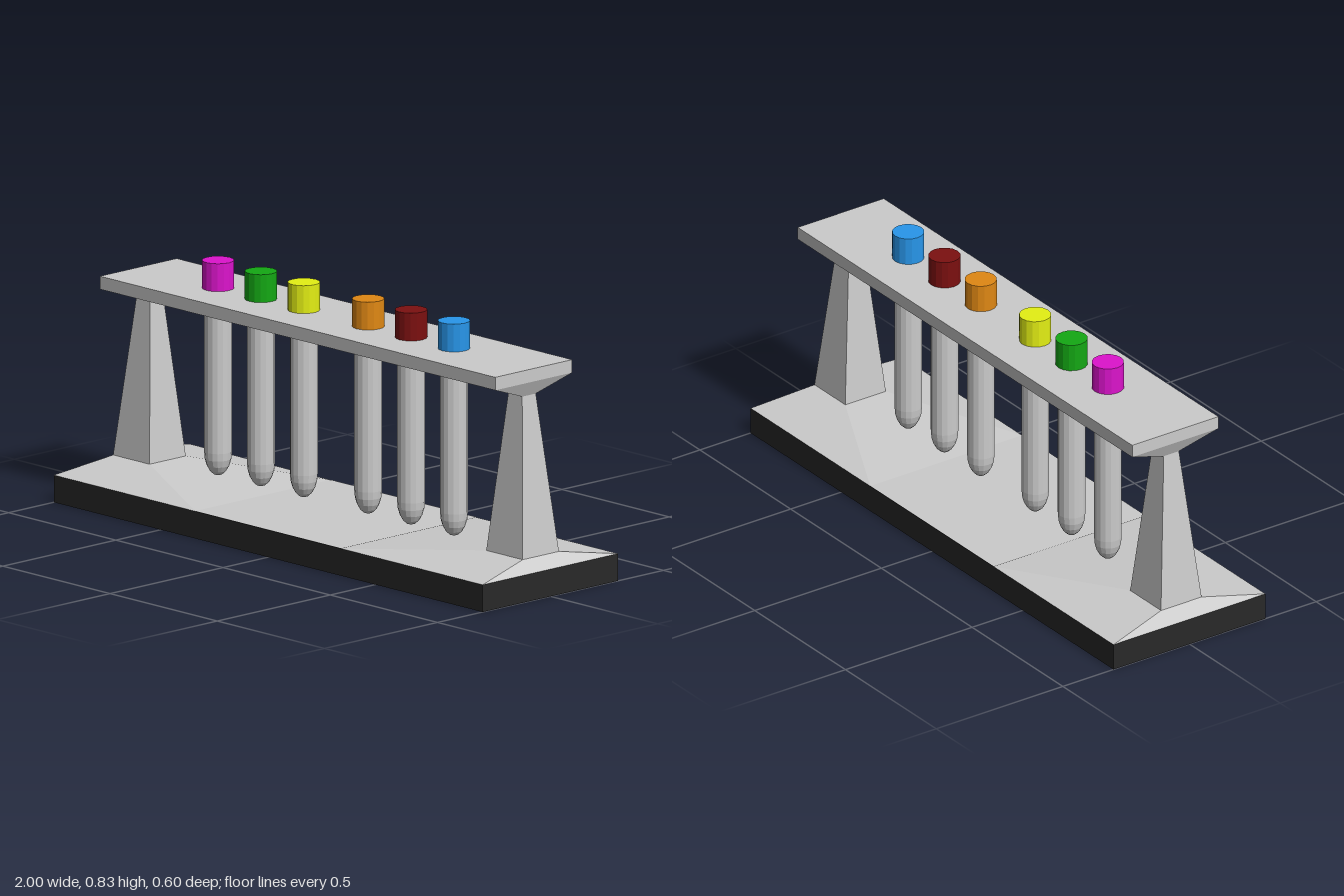
import * as THREE from 'three';

const grey = new THREE.MeshStandardMaterial({ color: 0xcccccc, flatShading: true });
const paint = (color) => new THREE.MeshStandardMaterial({ color, flatShading: true });

function add(parent, name, geometry, material, x = 0, y = 0, z = 0) {
  const mesh = new THREE.Mesh(geometry, material);
  mesh.name = name;
  mesh.position.set(x, y, z);
  parent.add(mesh);
  return mesh;
}

// Box whose bottom and top rectangles differ; each is [xMin, xMax, halfDepth, y]
function taperedBlock(bottom, top) {
  const geometry = new THREE.BoxGeometry(1, 1, 1);
  const p = geometry.attributes.position;
  for (let i = 0; i < p.count; i++) {
    const [x0, x1, depth, y] = p.getY(i) > 0 ? top : bottom;
    p.setXYZ(i, p.getX(i) > 0 ? x1 : x0, y, Math.sign(p.getZ(i)) * depth);
  }
  geometry.computeVertexNormals();
  return geometry;
}

// Sloped foot, leg and flared bracket at one end (+x side)
function createSupport() {
  const support = new THREE.Group();
  support.name = 'endSupport';
  const ground = [0.34, 1, 0.3, 0.09];
  const foot = [0.785, 0.955, 0.08, 0.127];
  const neck = [0.835, 0.9, 0.03, 0.648];
  const flare = [0.813, 0.922, 0.17, 0.697];
  add(support, 'slopedFoot', taperedBlock(ground, foot), grey);
  add(support, 'leg', taperedBlock(foot, neck), grey);
  add(support, 'bracket', taperedBlock(neck, flare), grey);
  return support;
}

export function createModel() {
  const model = new THREE.Group();
  model.name = 'testTubeRack';

  // Dark base with a grey deck between the two feet
  add(model, 'base', new THREE.BoxGeometry(2, 0.09, 0.6), paint(0x282828), 0, 0.045);
  const deck = new THREE.PlaneGeometry(0.68, 0.6).rotateX(-Math.PI / 2);
  add(model, 'deck', deck, grey, 0, 0.091);

  // Mirror-symmetric supports: turn one half round
  for (const angle of [0, Math.PI]) {
    const support = createSupport();
    support.rotation.y = angle;
    model.add(support);
  }

  // Top shelf
  add(model, 'shelf', new THREE.BoxGeometry(1.844, 0.043, 0.34), grey, 0, 0.7185);

  // Round-bottomed tubes with coloured stoppers
  const profile = [new THREE.Vector2(0, 0.12)];
  for (let i = 1; i <= 5; i++) {
    const a = (i / 5) * Math.PI / 2;
    profile.push(new THREE.Vector2(0.045 * Math.sin(a), 0.2 - 0.08 * Math.cos(a)));
  }
  profile.push(new THREE.Vector2(0.045, 0.72));
  const tube = new THREE.LatheGeometry(profile, 16);
  const stopper = new THREE.CylinderGeometry(0.052, 0.052, 0.102, 16);
  const tubes = [
    [-0.55, 0xdc14cc], [-0.35, 0x14a814], [-0.15, 0xe4f014],
    [0.15, 0xe08814], [0.35, 0x7c1010], [0.55, 0x2896ea],
  ];
  for (const [x, color] of tubes) {
    add(model, 'tube', tube, grey, x);
    add(model, 'stopper', stopper, paint(color), x, 0.781);
  }
  return model;
}
